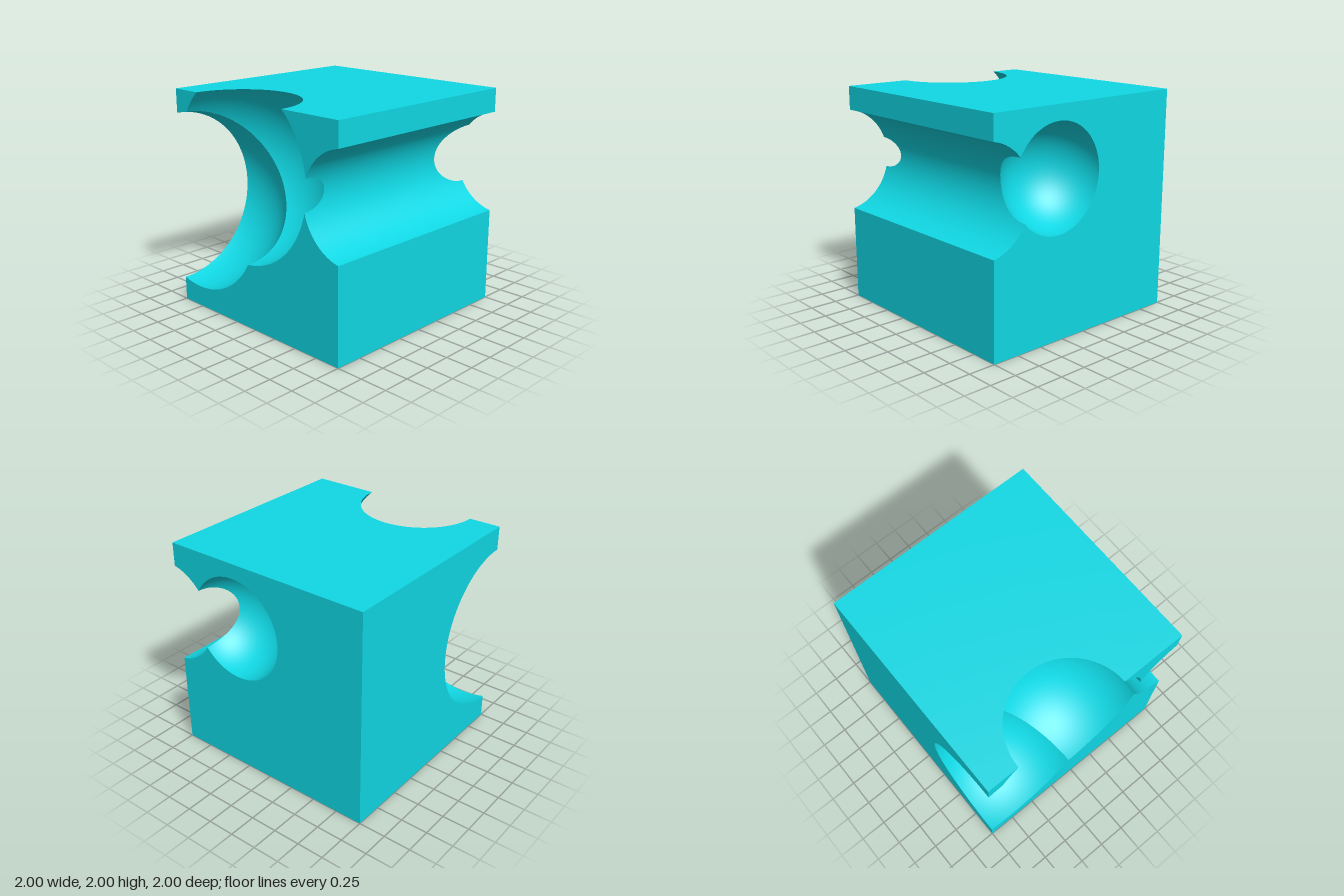
import * as THREE from 'three';

const V = (x, y, z) => new THREE.Vector3(x, y, z);
const WALL = 0.08;
const CENTRE = V(0, 1, 0);

// A flat side of the cube: distance is positive towards the inside
function flatSide(name, normal, half) {
  const geometry = new THREE.PlaneGeometry(2, 2, 36, 36);
  geometry.applyQuaternion(new THREE.Quaternion().setFromUnitVectors(V(0, 0, 1), normal));
  geometry.translate(...normal.clone().multiplyScalar(half).add(CENTRE).toArray());
  return {
    name, geometry,
    distance: p => half - p.clone().sub(CENTRE).dot(normal),
    outward: () => normal.clone(),
  };
}

// A ball-shaped hollow: distance is positive outside the ball
function ballHollow(name, centre, radius) {
  return {
    name,
    geometry: new THREE.SphereGeometry(radius, 96, 64).translate(...centre.toArray()),
    distance: p => p.distanceTo(centre) - radius,
    outward: p => centre.clone().sub(p).normalize(),
  };
}

// A round groove running along x
function grooveHollow(name, y, z, radius) {
  return {
    name,
    geometry: new THREE.CylinderGeometry(radius, radius, 2, 96, 48, true)
      .rotateZ(Math.PI / 2).translate(0, y, z),
    distance: p => Math.hypot(p.y - y, p.z - z) - radius,
    outward: p => V(0, y - p.y, z - p.z).normalize(),
  };
}

// All surfaces of the block, moved inwards by an inset
function blockSurfaces(inset) {
  const half = 1 - inset;
  return [
    flatSide('frontWall', V(0, 0, 1), half),
    flatSide('backWall', V(0, 0, -1), half),
    flatSide('leftWall', V(1, 0, 0), half),
    flatSide('rightWall', V(-1, 0, 0), half),
    flatSide('topWall', V(0, 1, 0), half),
    grooveHollow('frontGroove', 1.325, 1.085, 0.468 + inset),
    ballHollow('smallSideHollow', V(1, 1.395, 0.32), 0.471 + inset),
    ballHollow('upperCornerHollow', V(-1, 1.395, -0.16), 0.813 + inset),
    ballHollow('lowerCornerHollow', V(-1, 1.0, -0.777), 0.813 + inset),
  ];
}

// Keep the part of a polygon where the distance is not negative
function clipPolygon(polygon, distance) {
  const d = polygon.map(distance);
  const inside = d.map(v => v > -1e-6);
  if (inside.every(Boolean)) return polygon;
  const kept = [];
  polygon.forEach((p, i) => {
    const j = (i + 1) % polygon.length;
    if (inside[i]) kept.push(p);
    if (inside[i] !== inside[j]) kept.push(p.clone().lerp(polygon[j], d[i] / (d[i] - d[j])));
  });
  return kept;
}

// Trim one surface by all the others; facing is 1 for the outside, -1 for the cavity
function trimmedGeometry(surface, limits, facing) {
  const source = surface.geometry.toNonIndexed().attributes.position;
  const positions = [];
  const normals = [];
  for (let i = 0; i < source.count; i += 3) {
    let polygon = [0, 1, 2].map(k => V(0, 0, 0).fromBufferAttribute(source, i + k));
    for (const limit of limits) {
      polygon = clipPolygon(polygon, limit);
      if (polygon.length < 3) break;
    }
    for (let k = 1; k + 1 < polygon.length; k++) {
      const corners = [polygon[0], polygon[k], polygon[k + 1]];
      const [a, b, c] = corners;
      const cross = b.clone().sub(a).cross(c.clone().sub(a));
      if (cross.length() < 1e-10) continue;
      const middle = a.clone().add(b).add(c).divideScalar(3);
      if (cross.dot(surface.outward(middle)) * facing < 0) corners.reverse();
      for (const p of corners) {
        positions.push(p.x, p.y, p.z);
        normals.push(...surface.outward(p).multiplyScalar(facing).toArray());
      }
    }
  }
  const geometry = new THREE.BufferGeometry();
  geometry.setAttribute('position', new THREE.Float32BufferAttribute(positions, 3));
  geometry.setAttribute('normal', new THREE.Float32BufferAttribute(normals, 3));
  return geometry;
}

function buildShell(name, inset, facing, material) {
  const shell = new THREE.Group();
  shell.name = name;
  const surfaces = blockSurfaces(inset);
  for (const surface of surfaces) {
    const limits = surfaces.filter(s => s !== surface).map(s => s.distance);
    limits.push(p => p.y);
    const mesh = new THREE.Mesh(trimmedGeometry(surface, limits, facing), material);
    mesh.name = surface.name;
    shell.add(mesh);
  }
  return shell;
}

// Square ring closing the wall thickness at the open bottom
function buildRim(material) {
  const square = h => [[-h, -h], [h, -h], [h, h], [-h, h]].map(c => new THREE.Vector2(...c));
  const shape = new THREE.Shape(square(1));
  shape.holes.push(new THREE.Path(square(1 - WALL)));
  const rim = new THREE.Mesh(new THREE.ShapeGeometry(shape).rotateX(Math.PI / 2), material);
  rim.name = 'bottomRim';
  return rim;
}

export function createModel() {
  const model = new THREE.Group();
  model.name = 'hollowCarvedCube';
  const material = new THREE.MeshStandardMaterial({ color: 0x10d8e4 });
  model.add(
    buildShell('outerShell', 0, 1, material),
    buildShell('innerCavity', WALL, -1, material),
    buildRim(material),
  );
  return model;
}
